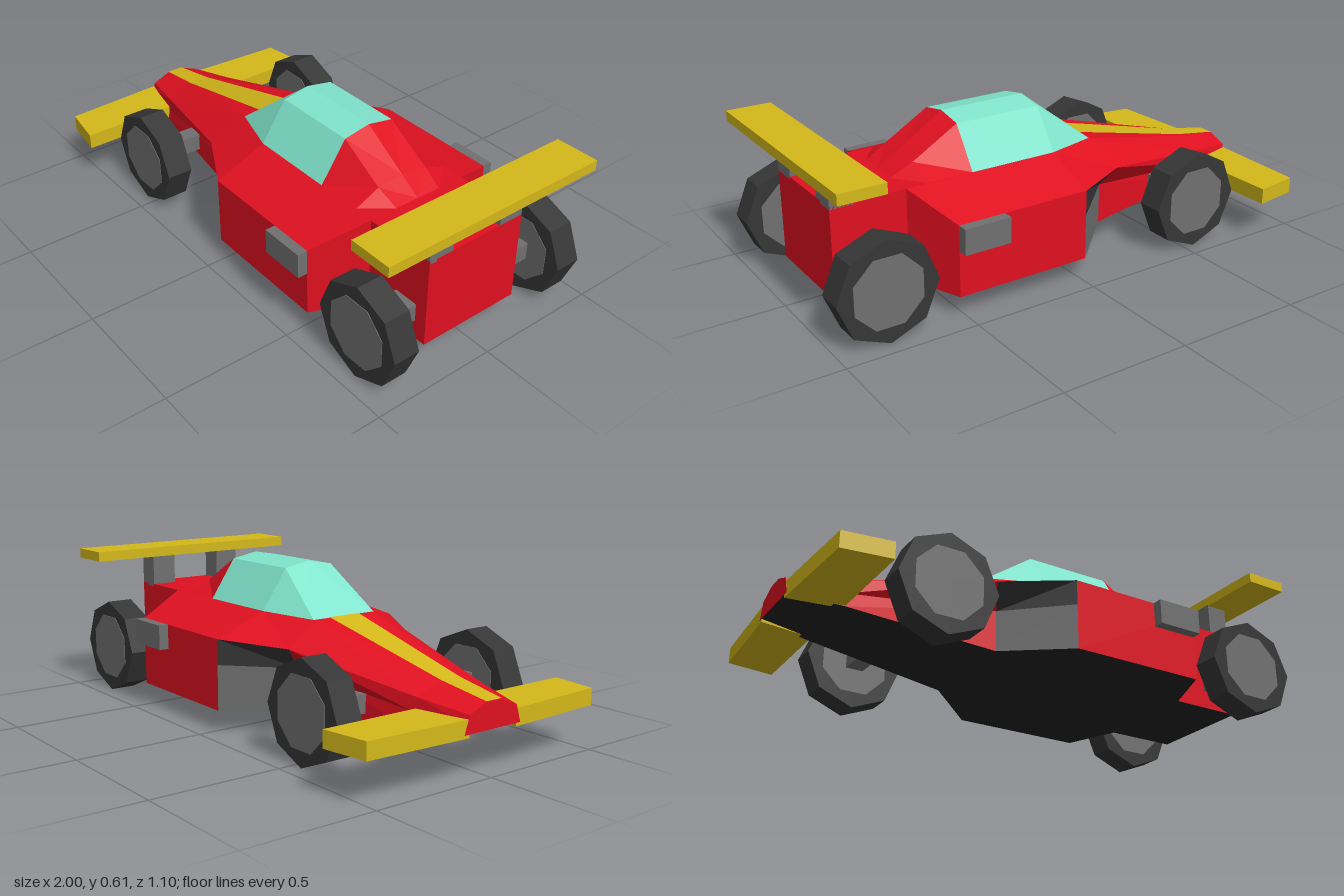
import * as THREE from 'three';

const RED = 0xe01020, YELLOW = 0xd4b81a, GLASS = 0x80e4cc, GREY = 0x707070, DARK = 0x363636, BLACK = 0x222222;

const paint = (color) => new THREE.MeshStandardMaterial({ color, flatShading: true });

// Skin over stations running nose to tail; each station lists points from low/outer to high/inner.
// The same skin is mirrored to the other side.
function skin(name, color, stations) {
  const pos = [];
  const tri = (a, b, c) => {
    const [A, B, C] = [a, b, c].map((p) => new THREE.Vector3(...p));
    if (B.clone().sub(A).cross(C.clone().sub(A)).length() < 1e-7) return;
    pos.push(...a, ...b, ...c);
    for (const p of [a, c, b]) pos.push(p[0], p[1], -p[2]);
  };
  for (let i = 0; i < stations.length - 1; i++) {
    const r = stations[i], s = stations[i + 1];
    for (let j = 0; j < r.length - 1; j++) {
      tri(r[j], s[j], s[j + 1]);
      tri(r[j], s[j + 1], r[j + 1]);
    }
  }
  const g = new THREE.BufferGeometry();
  g.setAttribute('position', new THREE.Float32BufferAttribute(pos, 3));
  g.computeVertexNormals();
  const mesh = new THREE.Mesh(g, paint(color));
  mesh.name = name;
  return mesh;
}

// Box given by its limits on each axis
function box(name, color, [x0, x1], [y0, y1], [z0, z1]) {
  const mesh = new THREE.Mesh(new THREE.BoxGeometry(x1 - x0, y1 - y0, z1 - z0), paint(color));
  mesh.position.set((x0 + x1) / 2, (y0 + y1) / 2, (z0 + z1) / 2);
  mesh.name = name;
  return mesh;
}

// Eight-sided disc on the z axis; turn rotates its corners
function disc(name, color, radius, width, turn) {
  const g = new THREE.CylinderGeometry(radius, radius, width, 8);
  g.rotateY(turn).rotateX(Math.PI / 2);
  const mesh = new THREE.Mesh(g, paint(color));
  mesh.name = name;
  return mesh;
}

function wheel(name, x, side) {
  const g = new THREE.Group();
  g.name = name;
  g.add(disc('tyre', DARK, 0.192, 0.105, 0), disc('hub', GREY, 0.14, 0.109, Math.PI / 8));
  g.position.set(x, 0.195, side * 0.3875);
  return g;
}

export function createModel() {
  const car = new THREE.Group();
  car.name = 'racingCar';

  // Body outline points: [x, y, z]
  const sill = [[-1, 0.17, 0.13], [-0.8, 0.155, 0.165], [-0.235, 0.1, 0.22], [-0.015, 0.085, 0.425],
    [0.525, 0.085, 0.425], [0.61, 0.085, 0.215], [0.9, 0.085, 0.215]];
  const edge = [[-1, 0.235, 0.11], [-0.8, 0.26, 0.155], [-0.27, 0.345, 0.285], [-0.015, 0.358, 0.425],
    [0.525, 0.358, 0.425], [0.61, 0.44, 0.215], [0.9, 0.44, 0.215]];
  const shoulder = [[-1, 0.265, 0.035], [-0.8, 0.297, 0.055], [-0.235, 0.43, 0.145], [-0.015, 0.44, 0.215],
    [0.525, 0.44, 0.215], [0.61, 0.44, 0.215], [0.9, 0.44, 0.215]];
  const centre = ([x, y]) => [x, y, 0];
  const mid = (a, b) => a.map((v, i) => (v + b[i]) / 2);
  const intakeFront = [-0.235, 0.26, 0.22], intakeBack = [-0.015, 0.26, 0.425];

  car.add(
    skin('upperShell', RED, edge.map((p, i) => [p, shoulder[i], centre(shoulder[i])])),
    skin('noseSides', RED, [0, 1, 2].map((i) => [sill[i], i === 2 ? intakeFront : mid(sill[i], edge[i]), edge[i]])),
    skin('podSides', RED, [3, 4, 5, 6].map((i) => [sill[i], edge[i]])),
    skin('floor', BLACK, sill.map((p) => [centre(p), p])),
    skin('intakePanels', GREY, [[sill[2], intakeFront], [sill[3], intakeBack]]),
    skin('intakeRoofs', DARK, [[intakeFront, edge[2]], [intakeBack, edge[3]]]),
    skin('noseCap', RED, [[sill[0], edge[0], shoulder[0]].map(centre), [sill[0], edge[0], shoulder[0]]]),
    skin('tailCap', RED, [[sill[6], edge[6]], [sill[6], edge[6]].map(centre)]),
  );

  // Stripe along the nose
  const stripe = [[-1.0, 0.268, 0.035], [-0.8, 0.3, 0.043], [-0.235, 0.433, 0.07]];
  car.add(skin('noseStripe', YELLOW, stripe.map((p) => [p, centre(p)])));

  // Canopy glass and the fairing behind it
  const canopyBack = [[0.34, 0.44, 0.215], [0.34, 0.595, 0.11], [0.34, 0.615, 0]];
  car.add(
    skin('canopy', GLASS, [
      [[-0.235, 0.431, 0.145], [-0.235, 0.431, 0.145], [-0.235, 0.431, 0]],
      [[-0.015, 0.44, 0.215], [-0.015, 0.595, 0.11], [-0.015, 0.615, 0]],
      canopyBack,
    ]),
    skin('canopyFairing', RED, [
      canopyBack,
      [[0.525, 0.44, 0.21], [0.525, 0.486, 0.11], [0.525, 0.496, 0]],
      [[0.61, 0.441, 0.11], [0.61, 0.441, 0.1], [0.61, 0.441, 0]],
    ]),
  );

  // Axles and rear wing
  car.add(
    box('frontAxle', GREY, [-0.58, -0.51], [0.16, 0.23], [-0.36, 0.36]),
    box('rearAxle', GREY, [0.75, 0.85], [0.16, 0.23], [-0.36, 0.36]),
    box('rearWing', YELLOW, [0.81, 0.985], [0.56, 0.6], [-0.475, 0.475]),
  );

  for (const side of [1, -1]) {
    const label = side > 0 ? 'left' : 'right';
    const span = (a, b) => (side > 0 ? [a, b] : [-b, -a]);

    car.add(
      wheel(label + 'FrontWheel', -0.545, side),
      wheel(label + 'RearWheel', 0.805, side),
      box(label + 'SideVent', GREY, [0.34, 0.525], [0.26, 0.358], span(0.38, 0.465)),
      box(label + 'WingPylon', GREY, [0.81, 0.9], [0.43, 0.565], span(0.11, 0.215)),
    );

    // Swept front wing, drawn in plan and thickened
    const plan = new THREE.Shape(
      [[-1, 0.11], [-0.98, 0.525], [-0.8, 0.55], [-0.8, 0.14]].map(([x, z]) => new THREE.Vector2(x, side * z)));
    const wingGeo = new THREE.ExtrudeGeometry(plan, { depth: 0.063, bevelEnabled: false });
    wingGeo.rotateX(Math.PI / 2).translate(0, 0.221, 0);
    const wing = new THREE.Mesh(wingGeo, paint(YELLOW));
    wing.name = label + 'FrontWing';
    car.add(wing);
  }
  return car;
}
